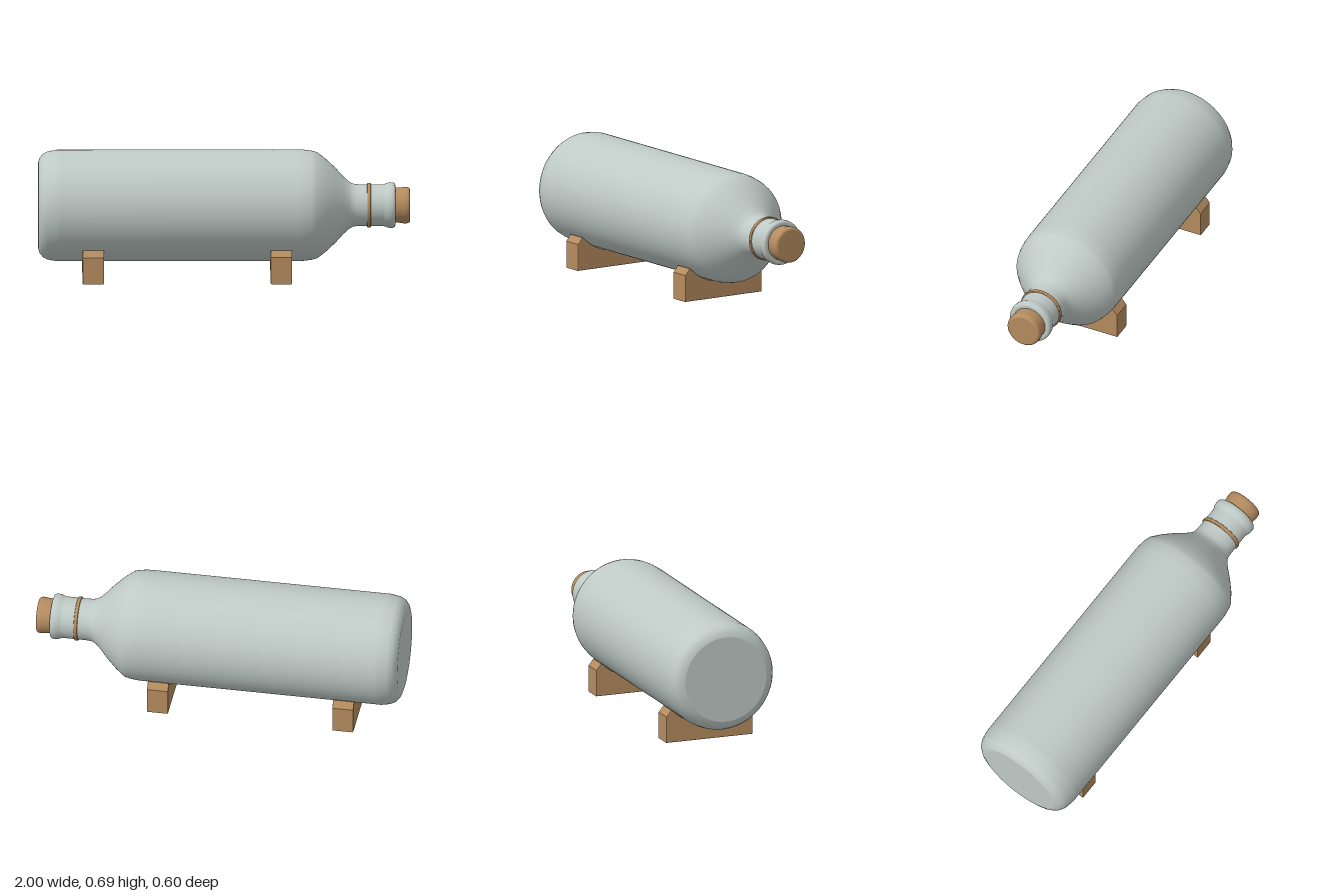
import * as THREE from 'three';

const AXIS_Y = 0.39; // height of the bottle's axis

export function createModel() {
  const group = new THREE.Group();
  const glass = new THREE.MeshStandardMaterial({ name: 'paleGlass', color: 0xbfcac6 });
  const wood = new THREE.MeshStandardMaterial({ name: 'wood', color: 0xb58c5f });

  const add = (name, geometry, material) => {
    const mesh = new THREE.Mesh(geometry, material);
    mesh.name = name;
    group.add(mesh);
    return mesh;
  };

  // Turned part lying along x; profile points are [x, radius]
  const turned = (name, profile, material) => {
    const points = profile.map(([x, r]) => new THREE.Vector2(r, x));
    const geometry = new THREE.LatheGeometry(points, 96);
    geometry.rotateZ(-Math.PI / 2);
    geometry.translate(0, AXIS_Y, 0);
    return add(name, geometry, material);
  };

  // Bottle: flat base, then body, shoulder, neck and lip
  turned('bottleBase', [[-1, 0], [-1, 0.235]], glass);
  turned('bottleBody', [
    [-1, 0.235], [-0.992, 0.258], [-0.975, 0.278], [-0.95, 0.291], [-0.9, 0.3],
    [-0.88, 0.3], [0.4, 0.3], [0.43, 0.299], [0.47, 0.294], [0.5, 0.286],
    [0.55, 0.248], [0.6, 0.201], [0.64, 0.157], [0.67, 0.129], [0.69, 0.117],
    [0.71, 0.113], [0.74, 0.112], [0.855, 0.112], [0.87, 0.116], [0.882, 0.121],
    [0.9, 0.123], [0.913, 0.121], [0.92, 0.115], [0.922, 0.106], [0.92, 0.09],
  ], glass);

  // Band around the neck
  turned('neckBand', [
    [0.77, 0.11], [0.77, 0.116], [0.773, 0.119], [0.787, 0.119], [0.79, 0.116], [0.79, 0.11],
  ], wood);

  // Stopper with softened edges
  turned('stopper', [
    [0.9, 0.092], [0.92, 0.094], [0.95, 0.095], [0.965, 0.098], [0.982, 0.098],
    [0.992, 0.096], [0.998, 0.091], [1, 0.084],
  ], wood);
  turned('stopperEnd', [[1, 0.084], [1, 0]], wood);

  // Cradle blocks with a hollow that fits the bottle
  const bevel = 0.004, radius = 0.302 + bevel, half = 0.25 - bevel, top = 0.18 - bevel;
  const rim = Math.asin((AXIS_Y - top) / radius);
  const outline = new THREE.Shape();
  outline.moveTo(-half, bevel);
  outline.lineTo(half, bevel);
  outline.lineTo(half, 0.144);
  outline.lineTo(0.22, top);
  outline.absarc(0, AXIS_Y, radius, -rim, -Math.PI + rim, true);
  outline.lineTo(-0.22, top);
  outline.lineTo(-half, 0.144);
  outline.closePath();
  const width = 0.115;
  const block = new THREE.ExtrudeGeometry(outline, {
    depth: width - 2 * bevel, curveSegments: 32,
    bevelThickness: bevel, bevelSize: bevel, bevelSegments: 2,
  });
  block.translate(0, 0, -width / 2 + bevel);
  block.rotateY(Math.PI / 2);
  add('rearCradle', block, wood).position.x = -0.705;
  add('neckCradle', block, wood).position.x = 0.307;

  return group;
}
